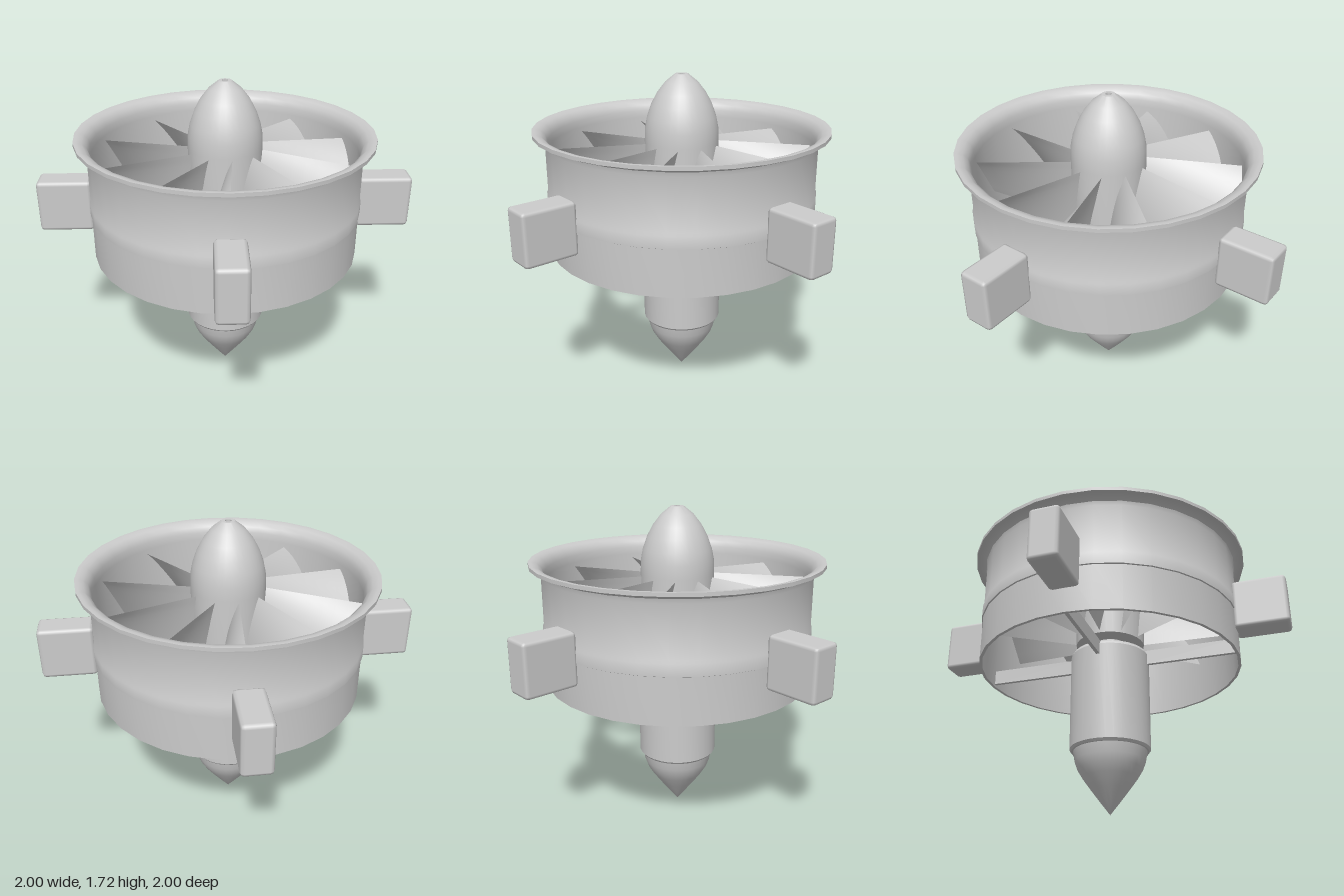
import * as THREE from 'three';
import { toCreasedNormals } from 'three/addons/utils/BufferGeometryUtils.js';
import { RoundedBoxGeometry } from 'three/addons/geometries/RoundedBoxGeometry.js';

const material = new THREE.MeshStandardMaterial({ color: 0xcccccc });
const lerp = THREE.MathUtils.lerp;

function part(name, geometry, parent) {
  const mesh = new THREE.Mesh(geometry, material);
  mesh.name = name;
  parent.add(mesh);
  return mesh;
}

// Turned part from a [radius, height] profile
function turned(profile, segments = 32) {
  const points = profile.map(([r, y]) => new THREE.Vector2(r, y));
  return toCreasedNormals(new THREE.LatheGeometry(points, segments), 0.5);
}

// Twisted, cambered blade lofted from thin sections between hub and tip
function bladeGeometry() {
  const spans = 8, chord = 8, n = chord * 2;
  const positions = [], index = [];
  for (let s = 0; s <= spans; s++) {
    const f = s / spans;
    const r = lerp(0.17, 0.692, f);
    const width = lerp(0.085, 0.215, f);
    const lead = lerp(1.37, 1.34, f);
    const drop = lerp(0.4, 0.3, f);
    for (let i = 0; i < n; i++) {
      const upper = i <= chord;
      const t = upper ? 1 - i / chord : (i - chord) / chord; // 0 leading, 1 trailing
      const half = 0.009 * Math.sin(Math.PI * t) * (upper ? 1 : -1);
      const slope = new THREE.Vector2(width, drop * (0.55 + 0.9 * t)).normalize();
      const u = width * (1 - t) - slope.y * half;
      const y = lead - drop * (0.55 * t + 0.45 * t * t) + slope.x * half;
      positions.push(r * Math.cos(u / r), y, -r * Math.sin(u / r));
    }
  }
  for (let s = 0; s < spans; s++) {
    for (let i = 0; i < n; i++) {
      const a = s * n + i, b = s * n + (i + 1) % n;
      index.push(a, a + n, b, b, a + n, b + n);
    }
  }
  // Tip cap
  const k = spans * n;
  for (let i = 0; i < chord; i++) {
    const c = k + (n - i) % n, d = k + n - i - 1;
    if (i > 0) index.push(k + i, c, k + i + 1);
    if (i < chord - 1) index.push(k + i + 1, c, d);
  }
  const geometry = new THREE.BufferGeometry();
  geometry.setAttribute('position', new THREE.Float32BufferAttribute(positions, 3));
  geometry.setIndex(index);
  return toCreasedNormals(geometry, 0.7);
}

export function createModel() {
  const model = new THREE.Group();
  model.name = 'ductedFan';

  // Duct wall with raised band and flared intake lip
  part('duct', turned([
    [0.704, 0.805], [0.72, 0.805], [0.72, 1.05], [0.726, 1.053], [0.726, 1.115],
    [0.72, 1.127], [0.72, 1.395], [0.726, 1.418], [0.742, 1.434], [0.765, 1.441],
    [0.782, 1.441], [0.782, 1.46], [0.765, 1.46], [0.738, 1.451], [0.716, 1.43],
    [0.705, 1.4], [0.702, 1.36], [0.704, 0.805],
  ]), model);

  // Rotor: spinner and hub with ten blades
  const rotor = new THREE.Group();
  rotor.name = 'rotor';
  model.add(rotor);
  part('spinner', turned([
    [0, 0.96], [0.19, 0.96], [0.197, 1.38], [0.195, 1.45], [0.183, 1.51], [0.16, 1.575],
    [0.128, 1.635], [0.085, 1.69], [0.034, 1.731], [0.016, 1.731], [0.016, 1.71], [0, 1.71],
  ]), rotor);
  const blade = bladeGeometry();
  for (let i = 0; i < 10; i++) {
    part('blade', blade, rotor).rotation.y = i * Math.PI / 5;
  }

  // Motor housing and tail cone
  part('shaft', new THREE.CylinderGeometry(0.1, 0.1, 0.2, 24).translate(0, 0.9, 0), model);
  part('motor', turned([
    [0, 0.34], [0.207, 0.34], [0.216, 0.352], [0.216, 0.88], [0.205, 0.9], [0, 0.9],
  ]), model);
  part('tailCone', turned([
    [0, 0.008], [0.05, 0.072], [0.1, 0.138], [0.145, 0.2], [0.172, 0.245],
    [0.188, 0.288], [0.198, 0.342], [0, 0.342],
  ]), model);

  // Four stator struts inside, four chamfered mounting blocks outside
  const strut = new THREE.BoxGeometry(0.52, 0.08, 0.02).translate(0.45, 0.86, 0);
  const block = new RoundedBoxGeometry(0.29, 0.28, 0.156, 1, 0.02).translate(0.855, 1.072, 0);
  for (let i = 0; i < 4; i++) {
    part('strut', strut, model).rotation.y = i * Math.PI / 2;
    part('mountBlock', block, model).rotation.y = i * Math.PI / 2;
  }
  return model;
}
